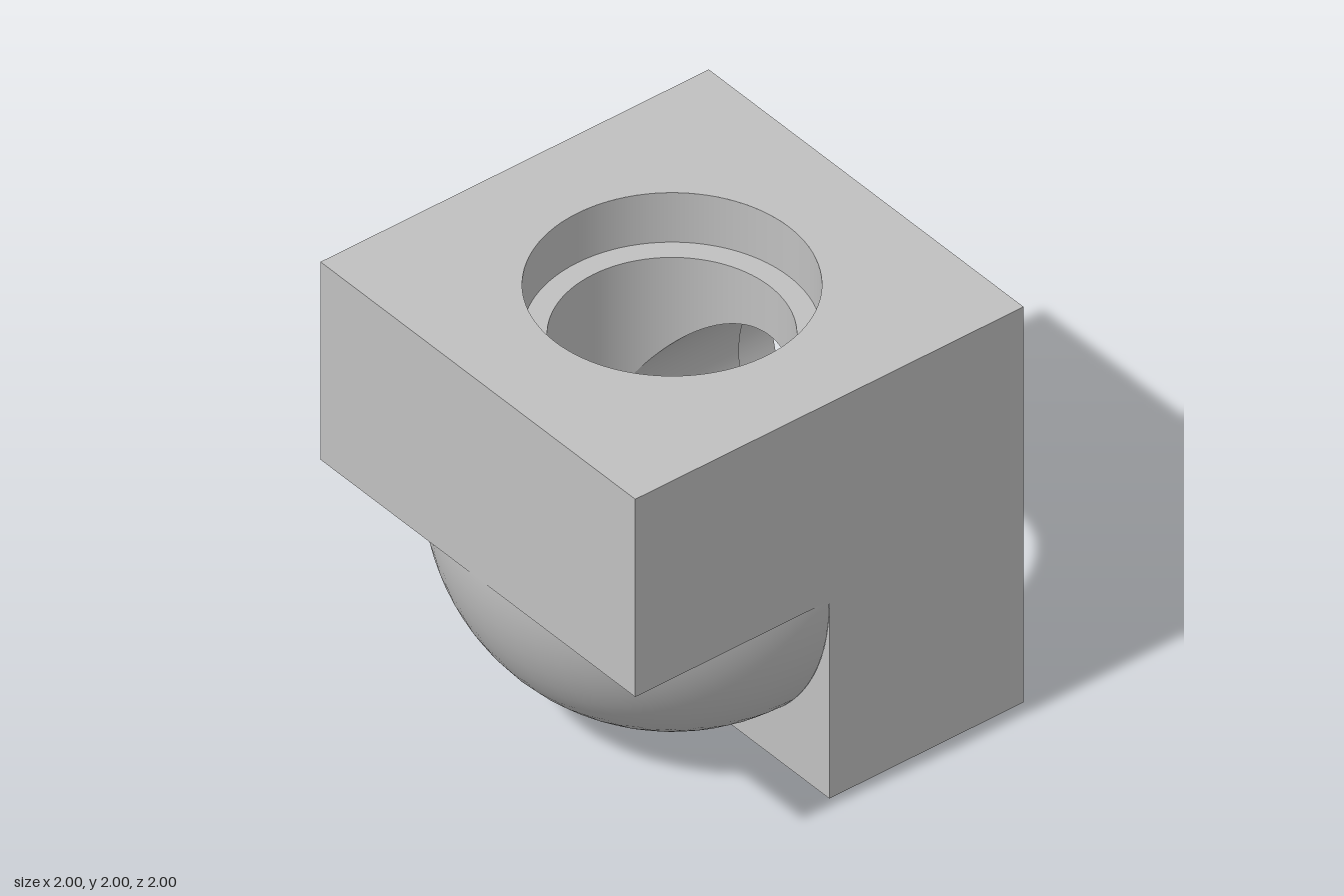
import * as THREE from 'three';

const BORE = 0.5, SOCKET = 0.6, LEDGE = 0.75, SEG = 96;

export function createModel() {
  const grey = new THREE.MeshStandardMaterial({ color: 0xc0c0c0 });
  grey.name = 'plain grey';

  const add = (parent, name, geometry) => {
    const mesh = new THREE.Mesh(geometry, grey);
    mesh.name = name;
    parent.add(mesh);
  };

  // One arm of the elbow, opening upward; the centre of the elbow is the origin
  const makeArm = (name) => {
    const arm = new THREE.Group();
    arm.name = name;

    // End face with the round opening
    const face = new THREE.Shape([[-1, -1], [1, -1], [1, 1], [-1, 1]].map(p => new THREE.Vector2(...p)));
    face.holes.push(new THREE.Path().absarc(0, 0, SOCKET, 0, Math.PI * 2, true));
    add(arm, 'endFace', new THREE.ShapeGeometry(face, SEG).rotateX(-Math.PI / 2).translate(0, 1, 0));

    // Inward-facing socket wall and the ledge at its foot
    const lathe = (...pts) => new THREE.LatheGeometry(pts.map(p => new THREE.Vector2(...p)), SEG);
    add(arm, 'socketWall', lathe([SOCKET, 1], [SOCKET, LEDGE]));
    add(arm, 'socketLedge', lathe([SOCKET, LEDGE], [BORE, LEDGE]));

    // Bore wall, mitred where it meets the other arm's bore
    const bore = lathe([BORE, LEDGE], [BORE, 0]);
    const pos = bore.attributes.position;
    for (let i = 0; i < pos.count; i++) {
      if (pos.getY(i) < 0.01) pos.setY(i, Math.max(0, pos.getX(i)));
    }
    add(arm, 'boreWall', bore);

    // Half-round floor of the bore
    add(arm, 'boreFloor', new THREE.CircleGeometry(BORE, SEG / 2, Math.PI / 2, Math.PI).rotateX(-Math.PI / 2));

    // Outer side wall
    add(arm, 'sideWall', new THREE.PlaneGeometry(2, 1).rotateY(-Math.PI / 2).translate(-1, 0.5, 0));

    // Underside corners left around the ball
    const corners = [-1, 1].map(s => {
      const c = new THREE.Shape();
      c.moveTo(-1, s);
      c.lineTo(0, s);
      c.absarc(0, 0, 1, s * Math.PI / 2, s * Math.PI, s < 0);
      return c;
    });
    add(arm, 'undersideCorners', new THREE.ShapeGeometry(corners, 24).rotateX(Math.PI / 2));
    return arm;
  };

  const body = new THREE.Group();
  body.name = 'elbowFitting';
  body.position.y = 1;

  // The second arm is the first one turned over the diagonal
  const sideArm = makeArm('sideArm');
  sideArm.quaternion.setFromAxisAngle(new THREE.Vector3(1, 1, 0).normalize(), Math.PI);
  body.add(makeArm('topArm'), sideArm);

  // L-shaped front and back
  const ell = new THREE.Shape([[-1, 0], [0, 0], [0, -1], [1, -1], [1, 1], [-1, 1]].map(p => new THREE.Vector2(...p)));
  add(body, 'frontFace', new THREE.ShapeGeometry(ell).translate(0, 0, 1));
  const back = new THREE.ShapeGeometry(ell).translate(0, 0, -1);
  back.index.array.reverse();
  back.computeVertexNormals();
  add(body, 'backFace', back);

  // Quarter ball filling the inner corner
  add(body, 'cornerBall', new THREE.SphereGeometry(1, 16, 32, 0, Math.PI / 2).rotateX(Math.PI / 2));

  const model = new THREE.Group();
  model.name = 'model';
  model.add(body);
  return model;
}
